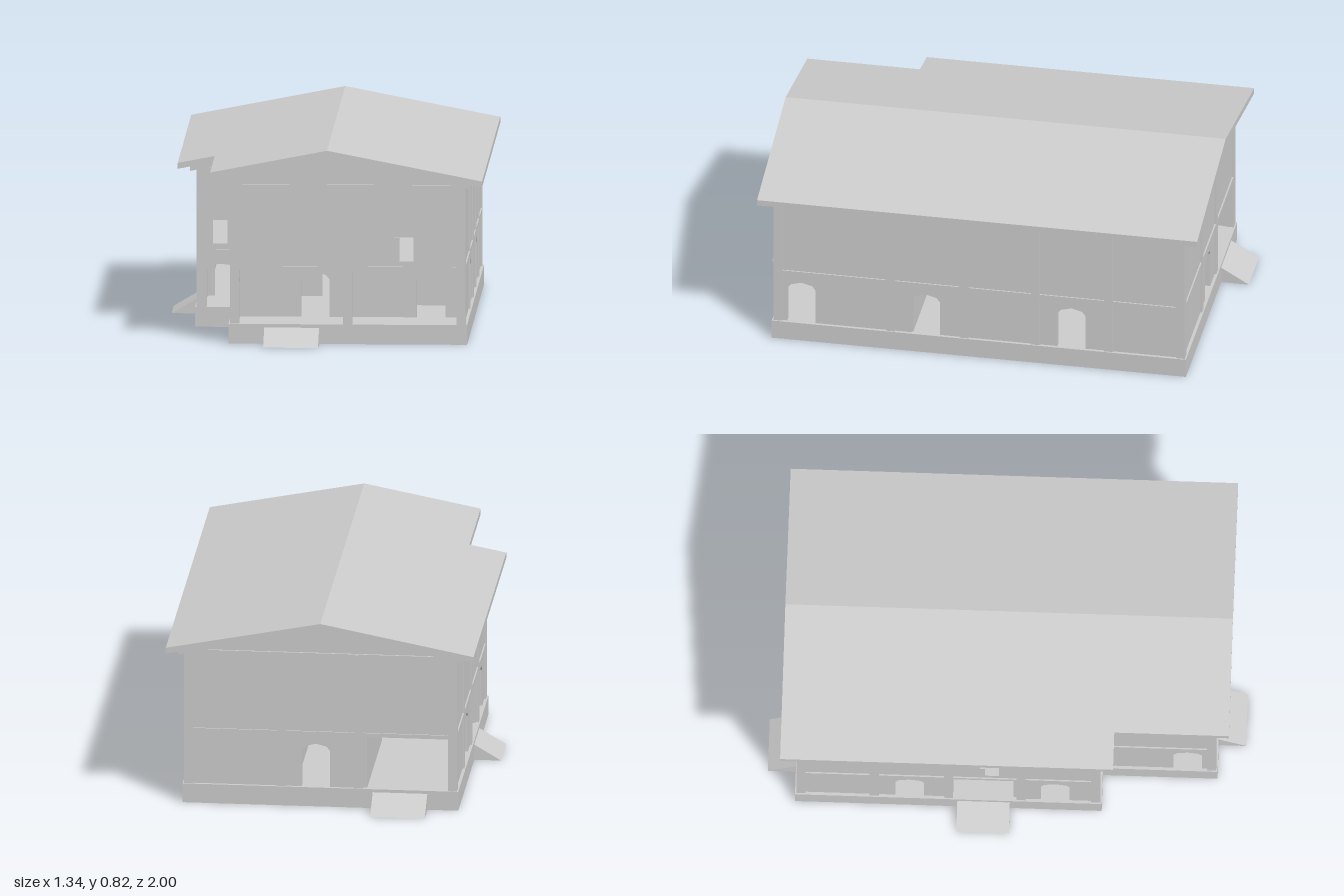
import * as THREE from 'three';

const FLOOR = 0.083, MID0 = 0.31, MID1 = 0.327, TOP = 0.67;
const RIDGE_X = 0.015, RIDGE_Y = 0.825, SLOPE = 0.194;

export function createModel() {
  const model = new THREE.Group();
  model.name = 'house';
  const stone = new THREE.MeshStandardMaterial({ color: 0xcccccc });
  stone.name = 'pale grey';

  const add = (parent, name, geo) => {
    const m = new THREE.Mesh(geo, stone);
    m.name = name;
    parent.add(m);
    return m;
  };
  const box = (parent, name, w, h, d, x, y, z) => {
    const m = add(parent, name, new THREE.BoxGeometry(w, h, d));
    m.position.set(x, y, z);
    return m;
  };
  const polygon = pts => new THREE.Shape(pts.map(p => new THREE.Vector2(p[0], p[1])));
  const extrude = (shape, depth) => new THREE.ExtrudeGeometry(shape, { depth, bevelEnabled: false });

  // Wall frame: local x runs from a to b, local z points outwards
  function frame(name, a, b) {
    const g = new THREE.Group();
    g.name = name;
    g.position.set(a[0], 0, a[1]);
    g.rotation.y = Math.atan2(-(b[1] - a[1]), b[0] - a[0]);
    model.add(g);
    return g;
  }

  // Outline points of an arched or square doorway cut from the floor up
  const archPts = (c, r) => [[c - r, FLOOR], [c - r, 0.24], [c - r * 0.75, 0.26], [c, 0.272],
    [c + r * 0.75, 0.26], [c + r, 0.24], [c + r, FLOOR]];
  const doorPts = (c, r) => [[c - r, FLOOR], [c - r, 0.215], [c + r, 0.215], [c + r, FLOOR]];

  function panel(g, name, s0, s1, y0, y1, cuts = [], windows = [], z = -0.008, t = 0.027) {
    const shape = polygon([[s0, y0], ...cuts.flat(), [s1, y0], [s1, y1], [s0, y1]]);
    for (const w of windows) {
      shape.holes.push(polygon([[w - 0.03, 0.35], [w - 0.03, 0.45], [w + 0.03, 0.45], [w + 0.03, 0.35]]));
      box(g, 'shutter', 0.02, 0.1, 0.014, w - 0.04, 0.4, -0.008);
    }
    add(g, name, extrude(shape, t)).position.z = z - t;
  }

  // Two-storey facade: posts with recessed panels between them
  function facade({ name, a, b, posts, end, arches = [], open = [], windows = [], r = 0.06 }) {
    const g = frame(name, a, b);
    for (const s of posts) box(g, 'post', 0.038, TOP - FLOOR, 0.038, s, (TOP + FLOOR) / 2, -0.02);
    const edges = end ? [...posts, end] : posts;
    for (let i = 0; i + 1 < edges.length; i++) {
      const s0 = edges[i] + 0.018, s1 = edges[i + 1] - (end ? 0 : 0.018);
      const inside = s => s > s0 && s < s1;
      panel(g, 'upperPanel', s0, s1, MID1 - 0.004, TOP, [], windows.filter(inside));
      if (!open.includes(i)) {
        panel(g, 'lowerPanel', s0, s1, FLOOR, MID0 + 0.004, arches.filter(inside).map(c => archPts(c, r)));
      }
    }
  }

  const facades = [
    { name: 'frontFacade', a: [-0.395, 0.88], b: [0.595, 0.88], posts: [0.02, 0.494, 0.97], open: [0, 1], windows: [0.74] },
    { name: 'leftFacade', a: [0.595, 0.88], b: [0.595, -0.875], posts: [0.02, 0.5, 0.813, 1.117, 1.428, 1.735],
      arches: [0.12, 0.65, 1.27] },
    { name: 'backFacade', a: [0.595, -0.875], b: [-0.555, -0.875], posts: [0.02, 0.41, 0.735, 1.13], arches: [0.555], open: [2] },
    { name: 'rightFacade', a: [-0.555, -0.875], b: [-0.555, 0.4], posts: [0.02, 0.327, 0.638, 0.942, 1.255],
      arches: [0.475, 1.085], open: [2], windows: [0.82] },
    { name: 'notchFacade', a: [-0.555, 0.4], b: [-0.395, 0.4], posts: [0.02], end: 0.16, arches: [0.1], windows: [0.1], r: 0.055 },
    { name: 'wingFacade', a: [-0.395, 0.4], b: [-0.395, 0.88], posts: [0.02, 0.46], arches: [0.36] },
  ];
  facades.forEach(facade);

  // Stepped footprint shared by plinth, floors and ceiling
  function footprint(grow) {
    const x0 = -0.555 - grow, xn = -0.395 - grow, x1 = 0.595 + grow;
    const zf = 0.88 + grow, zn = 0.4 + grow, zb = -0.875 - grow;
    return polygon([[x0, -zn], [xn, -zn], [xn, -zf], [x1, -zf], [x1, -zb], [x0, -zb]]);
  }
  function slab(name, shape, y, h) {
    const m = add(model, name, extrude(shape, h));
    m.rotation.x = -Math.PI / 2;
    m.position.y = y;
  }
  // Hollow plinth, open underneath
  const skirt = footprint(0.005);
  skirt.holes.push(footprint(0));
  slab('plinth', skirt, 0, FLOOR);
  slab('groundFloor', footprint(0.001), FLOOR - 0.005, 0.005);
  slab('upperFloor', footprint(-0.002), MID0, MID1 - MID0);
  slab('ceiling', footprint(-0.002), 0.66, 0.013);

  // Ground floor inner walls
  function innerWall(name, a, b, cuts = []) {
    const g = frame(name, a, b);
    panel(g, name, 0, Math.hypot(b[0] - a[0], b[1] - a[1]), FLOOR, MID0, cuts, [], 0.015, 0.03);
  }
  innerWall('porchWall', [-0.38, 0.65], [0.58, 0.65], [archPts(0.335, 0.06), archPts(0.82, 0.06)]);
  innerWall('leftRoomFrontWall', [0.15, 0.3], [0.58, 0.3]);
  innerWall('leftRoomSideWall', [0.16, 0.315], [0.16, 0.02]);
  innerWall('hallWall', [-0.54, 0.05], [0.15, 0.05], [doorPts(0.085, 0.035), doorPts(0.59, 0.09)]);
  innerWall('backRoomWall', [0.13, -0.22], [0.58, -0.22]);
  innerWall('backRoomSideWall', [0.14, -0.22], [0.14, -0.86]);
  innerWall('backPorchWall', [-0.16, -0.24], [-0.16, -0.86]);

  // Roof layers: bent strips running along z
  const roofY = (x, drop) => RIDGE_Y - Math.abs(x - RIDGE_X) * SLOPE - drop;
  function roof(name, x0, x1, z0, z1, drop, t) {
    const xs = [x0, RIDGE_X, x1];
    const pts = [...xs.map(x => [x, roofY(x, drop + t)]), ...xs.reverse().map(x => [x, roofY(x, drop)])];
    add(model, name, extrude(polygon(pts), z1 - z0)).position.z = z0;
  }
  roof('mainRoof', -0.63, 0.665, -0.94, 0.455, 0, 0.025);
  roof('wingRoof', -0.475, 0.665, 0.455, 0.935, 0, 0.025);
  roof('mainRoofBoards', -0.58, 0.615, -0.91, 0.43, 0.025, 0.022);
  roof('wingRoofBoards', -0.435, 0.615, 0.43, 0.905, 0.025, 0.022);

  // Gable walls up to the roof boards
  function gable(name, x0, x1, z) {
    const xs = [x1, ...(x0 < RIDGE_X && x1 > RIDGE_X ? [RIDGE_X] : []), x0];
    const pts = [[x0, 0.655], [x1, 0.655], ...xs.map(x => [x, roofY(x, 0.045)])];
    add(model, name, extrude(polygon(pts), 0.025)).position.z = z;
  }
  gable('frontGable', -0.39, 0.59, 0.845);
  gable('backGable', -0.55, 0.59, -0.865);
  gable('notchGable', -0.55, -0.39, 0.367);
  box(model, 'wingEavesWall', 0.025, 0.045, 0.47, -0.38, 0.68, 0.635);

  // Entrance ramps: a sloping plate on two cheeks, open underneath
  function ramp(name, width, x, z, turn) {
    const g = new THREE.Group();
    g.name = name;
    const plate = polygon([[0, 0.064], [0.108, 0], [0.118, 0], [0, 0.07]]);
    add(g, 'rampPlate', extrude(plate, width)).position.z = -width / 2;
    const cheek = polygon([[0, 0], [0.113, 0], [0, 0.067]]);
    for (const side of [-width / 2, width / 2 - 0.004]) {
      add(g, 'rampCheek', extrude(cheek, 0.004)).position.z = side;
    }
    g.position.set(x, 0, z);
    g.rotation.y = turn;
    model.add(g);
  }
  ramp('frontRamp', 0.23, -0.135, 0.882, -Math.PI / 2);
  ramp('backRamp', 0.23, -0.315, -0.88, Math.PI / 2);
  ramp('sideRamp', 0.22, -0.555, -0.09, Math.PI);

  return model;
}
